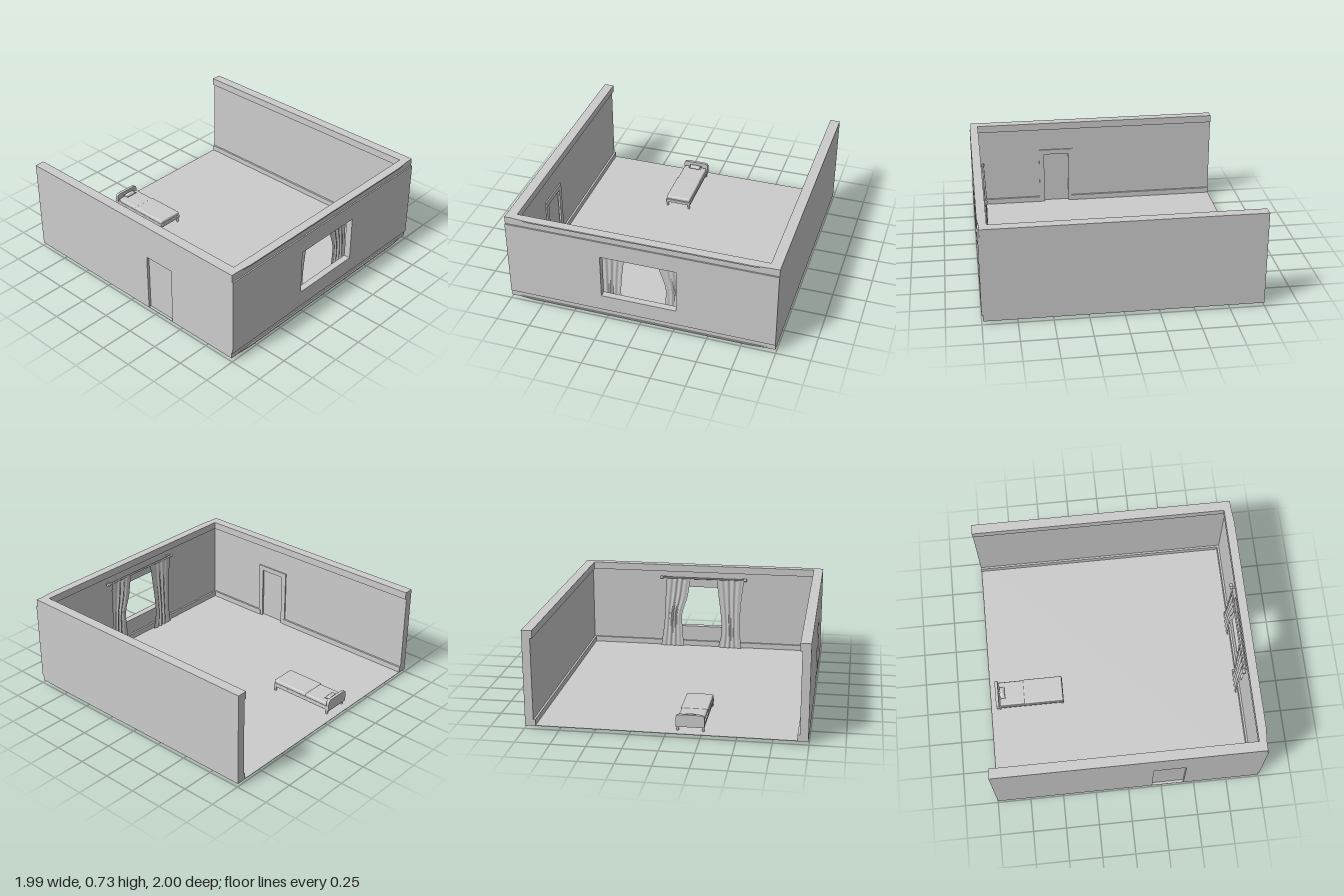
import * as THREE from 'three';
import { RoundedBoxGeometry } from 'three/addons/geometries/RoundedBoxGeometry.js';

const FLOOR = 0.033, TOP = 0.737, BASE = 0.08, CORNICE = 0.68;

export function createModel() {
  const room = new THREE.Group();
  room.name = 'room';
  const mat = new THREE.MeshStandardMaterial({ color: 0xcccccc });
  const thin = new THREE.MeshStandardMaterial({ color: 0xcccccc, side: THREE.DoubleSide });

  function add(name, geo, parent = room, material = mat) {
    const mesh = new THREE.Mesh(geo, material);
    mesh.name = name;
    parent.add(mesh);
    return mesh;
  }
  // Box given by its limits on each axis
  function box(name, x0, x1, y0, y1, z0, z1, parent = room) {
    const m = add(name, new THREE.BoxGeometry(x1 - x0, y1 - y0, z1 - z0), parent);
    m.position.set((x0 + x1) / 2, (y0 + y1) / 2, (z0 + z1) / 2);
    return m;
  }
  function rounded(name, x0, x1, y0, y1, z0, z1, r, parent) {
    const m = add(name, new RoundedBoxGeometry(x1 - x0, y1 - y0, z1 - z0, 3, r), parent);
    m.position.set((x0 + x1) / 2, (y0 + y1) / 2, (z0 + z1) / 2);
  }
  const shapeOf = (pts) => new THREE.Shape(pts.map(([x, y]) => new THREE.Vector2(x, y)));

  box('floor', -0.995, 0.995, FLOOR, FLOOR + 0.004, -1, 0.988);

  // Left wall, plain
  box('leftWall', 0.935, 0.995, FLOOR, TOP, -1, 0.988);

  // Right wall with a doorway
  const door = { z0: 0.18, z1: 0.42, top: 0.48 };
  const rightWall = new THREE.ExtrudeGeometry(shapeOf([
    [-1, FLOOR], [door.z0, FLOOR], [door.z0, door.top], [door.z1, door.top],
    [door.z1, FLOOR], [0.988, FLOOR], [0.988, TOP], [-1, TOP],
  ]), { depth: 0.06, bevelEnabled: false });
  rightWall.rotateY(-Math.PI / 2).translate(-0.935, 0, 0);
  add('rightWall', rightWall);

  // Door leaf and its inner frame
  box('door', -0.975, -0.95, FLOOR, door.top, door.z0, door.z1);
  const frame = new THREE.Group();
  frame.name = 'doorFrame';
  room.add(frame);
  for (const z of [door.z0, door.z1])
    box('doorJamb', -0.94, -0.925, FLOOR, door.top + 0.02, z - 0.02, z + 0.02, frame);
  box('doorHead', -0.94, -0.925, door.top - 0.02, door.top + 0.02, door.z0 - 0.02, door.z1 + 0.02, frame);

  // Front wall: raised middle panel pierced by the window, recessed bands above and below
  const panel = shapeOf([[-0.995, BASE], [0.995, BASE], [0.995, CORNICE], [-0.995, CORNICE]]);
  panel.holes.push(new THREE.Path([
    [-0.285, 0.205], [-0.285, 0.55], [0.275, 0.55], [0.275, 0.205],
  ].map(([x, y]) => new THREE.Vector2(x, y))));
  add('frontWall', new THREE.ExtrudeGeometry(panel, { depth: 0.05, bevelEnabled: false })).position.z = 0.95;
  box('frontLowerBand', -0.995, 0.995, FLOOR, BASE, 0.95, 0.99);
  box('frontUpperBand', -0.995, 0.995, CORNICE, TOP, 0.95, 0.99);

  // Slim lip along the outer top and bottom edges, tapering at the corners
  for (const [name, y] of [['topLip', TOP - 0.01], ['bottomLip', FLOOR]]) {
    const lip = new THREE.ExtrudeGeometry(
      shapeOf([[-0.995, -0.985], [0.995, -0.985], [0.82, -1], [-0.82, -1]].reverse()),
      { depth: 0.01, bevelEnabled: false });
    lip.rotateX(-Math.PI / 2);
    add(name, lip).position.y = y;
  }

  // Inner cornice and skirting boards
  const trims = [['cornice', CORNICE, TOP], ['skirting', FLOOR, BASE]];
  for (const [name, y0, y1] of trims) {
    box(name + 'Left', 0.92, 0.94, y0, y1, -1, 0.96);
    box(name + 'Front', -0.93, 0.93, y0, y1, 0.935, 0.96);
    const runs = name === 'cornice' ? [[-1, 0.96]] : [[-1, door.z0], [door.z1, 0.96]];
    for (const [z0, z1] of runs) box(name + 'Right', -0.94, -0.92, y0, y1, z0, z1);
  }

  // Curtain rod with end knobs and brackets
  const rod = new THREE.Group();
  rod.name = 'curtainRod';
  room.add(rod);
  const bar = add('rodBar', new THREE.CylinderGeometry(0.007, 0.007, 0.72, 16), rod);
  bar.rotation.z = Math.PI / 2;
  bar.position.set(-0.01, 0.632, 0.917);
  for (const x of [-0.36, 0.34]) {
    const knob = add('rodKnob', new THREE.CylinderGeometry(0.012, 0.012, 0.022, 16), rod);
    knob.rotation.z = Math.PI / 2;
    knob.position.set(x, 0.632, 0.917);
    box('rodBracket', x * 0.94 - 0.005, x * 0.94 + 0.005, 0.627, 0.637, 0.917, 0.952, rod);
  }

  // Curtains: folded sheets between an outer and an inner edge, listed from top to bottom
  function curtain(name, outer, inner, low) {
    const edge = (pts, t) => new THREE.CatmullRomCurve3(
      pts.map(([x, y]) => new THREE.Vector3(x, y, 0))).getPoint(t);
    const geo = new THREE.PlaneGeometry(1, 1, 48, 24);
    const p = geo.attributes.position;
    for (let i = 0; i < p.count; i++) {
      const u = p.getX(i) + 0.5, t = 0.5 - p.getY(i);
      const a = edge(outer, t), b = edge(inner, t);
      const fold = Math.sin(u * Math.PI * 9 + t * 0.8) * 0.006 * Math.sin(u * Math.PI);
      const droop = low * Math.sin(u * Math.PI) * t * t;
      p.setXYZ(i, a.x + (b.x - a.x) * u, a.y + (b.y - a.y) * u - droop, 0.916 + fold);
    }
    geo.computeVertexNormals();
    add(name, geo, room, thin);
  }
  curtain('leftCurtain',
    [[0.30, 0.628], [0.31, 0.47], [0.315, 0.32], [0.33, 0.17], [0.35, 0.037]],
    [[0.10, 0.628], [0.125, 0.47], [0.17, 0.32], [0.165, 0.17], [0.155, 0.035]], 0.015);
  curtain('rightCurtain',
    [[-0.35, 0.628], [-0.33, 0.47], [-0.32, 0.32], [-0.32, 0.17], [-0.335, 0.035]],
    [[-0.12, 0.628], [-0.14, 0.47], [-0.158, 0.32], [-0.165, 0.17], [-0.14, 0.045]], 0.03);

  // Bed
  const bed = new THREE.Group();
  bed.name = 'bed';
  room.add(bed);
  const [bx0, bx1, bz0, bz1] = [-0.275, -0.07, -0.945, -0.43];
  for (const x of [bx0 + 0.013, bx1 - 0.013])
    for (const z of [bz0 + 0.015, bz1 - 0.013]) {
      const leg = add('bedLeg', new THREE.CylinderGeometry(0.011, 0.008, 0.05, 16), bed);
      leg.position.set(x, FLOOR + 0.024, z);
    }
  rounded('bedFrame', bx0, bx1, 0.072, 0.1, bz0 + 0.01, bz1, 0.006, bed);
  rounded('mattress', bx0 + 0.008, bx1 - 0.008, 0.095, 0.126, -0.925, bz1 + -0.006, 0.012, bed);
  rounded('blanket', bx0 + 0.004, bx1 - 0.004, 0.098, 0.13, -0.735, bz1 - 0.002, 0.012, bed);

  // Headboard with rounded upper corners
  const w = (bx1 - bx0) / 2, h = 0.09, r = 0.03;
  const board = new THREE.Shape();
  board.moveTo(-w, 0);
  board.lineTo(w, 0);
  board.lineTo(w, h - r);
  board.quadraticCurveTo(w, h, w - r, h);
  board.lineTo(-w + r, h);
  board.quadraticCurveTo(-w, h, -w, h - r);
  add('headboard', new THREE.ExtrudeGeometry(board, { depth: 0.022, bevelEnabled: false }), bed)
    .position.set((bx0 + bx1) / 2, 0.07, -0.953);

  // Pillow: a box swollen in the middle and pinched along its sides
  const pillow = new THREE.BoxGeometry(2, 2, 2, 16, 2, 10);
  const q = pillow.attributes.position;
  for (let i = 0; i < q.count; i++) {
    const u = q.getX(i), v = q.getZ(i);
    const puff = 0.002 + 0.014 * Math.sqrt((1 - u * u) * (1 - v * v));
    q.setXYZ(i, u * 0.053 * (0.82 + 0.18 * v * v), q.getY(i) * puff, v * 0.023 * (0.8 + 0.2 * u * u));
  }
  pillow.computeVertexNormals();
  add('pillow', pillow, bed).position.set(-0.17, 0.135, -0.9);

  return room;
}
